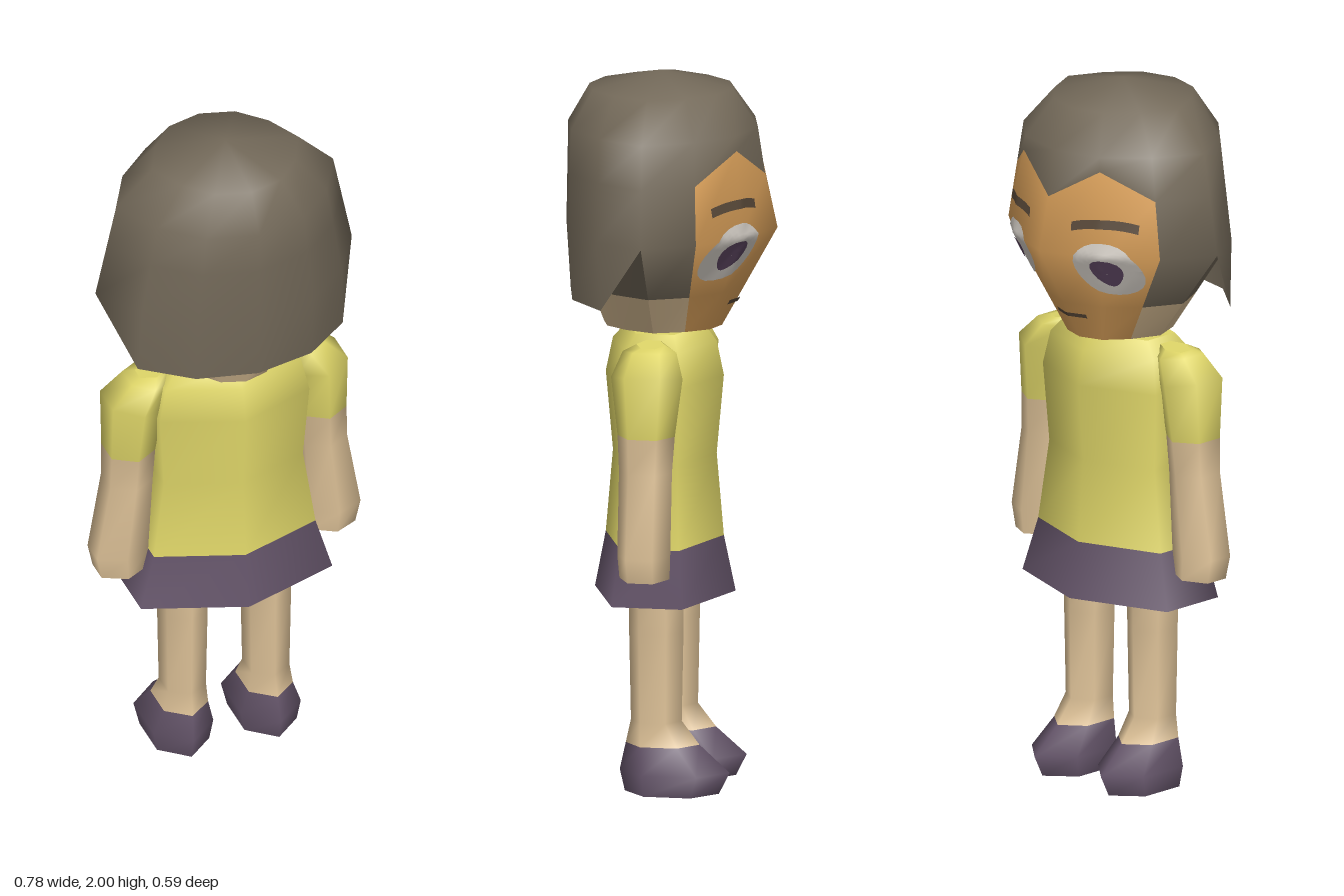
import * as THREE from 'three';
import { mergeVertices } from 'three/addons/utils/BufferGeometryUtils.js';

const paint = (name, color, side = THREE.FrontSide) => {
  const m = new THREE.MeshStandardMaterial({ color, side });
  m.name = name;
  return m;
};

export function createModel() {
  const hair = paint('hair brown', 0x736959, THREE.DoubleSide);
  const face = paint('face tan', 0xdfa45c);
  const skin = paint('skin cream', 0xdec298);
  const yellow = paint('shirt yellow', 0xded568);
  const purple = paint('skirt and shoe purple', 0x65556a);
  const white = paint('eye white', 0xd6d0c8);
  const iris = paint('iris plum', 0x5c4560);
  const brown = paint('brow brown', 0x5a4a3a);

  const model = new THREE.Group();
  model.name = 'girl';

  // Smooth mesh from a map of material -> triangle corner points
  function surface(name, faces, smooth = true) {
    const pos = [], mats = [...faces.keys()];
    let geo = new THREE.BufferGeometry();
    mats.forEach((m, i) => {
      const pts = faces.get(m);
      geo.addGroup(pos.length / 3, pts.length, i);
      pts.forEach((p) => pos.push(p.x, p.y, p.z));
    });
    geo.setAttribute('position', new THREE.Float32BufferAttribute(pos, 3));
    if (smooth) geo = mergeVertices(geo, 1e-4);
    geo.computeVertexNormals();
    const mesh = new THREE.Mesh(geo, mats.length > 1 ? mats : mats[0]);
    mesh.name = name;
    return mesh;
  }

  // Wall between rings listed from top to bottom; matAt(row, column) may return null
  function wall(rings, matAt, faces = new Map()) {
    for (let r = 0; r + 1 < rings.length; r++) {
      const n = rings[r].length;
      for (let i = 0; i < n; i++) {
        const m = matAt(r, i);
        if (!m) continue;
        if (!faces.has(m)) faces.set(m, []);
        const j = (i + 1) % n, u = rings[r], l = rings[r + 1];
        faces.get(m).push(l[j], l[i], u[i], l[j], u[i], u[j]);
      }
    }
    return faces;
  }

  // Flat end cap
  function cap(name, ring, mat, up) {
    const c = ring.reduce((s, p) => s.add(p), new THREE.Vector3()).divideScalar(ring.length);
    const pts = [];
    ring.forEach((p, i) => {
      const q = ring[(i + 1) % ring.length];
      pts.push(c, up ? q : p, up ? p : q);
    });
    return surface(name, new Map([[mat, pts]]), false);
  }

  // Six-sided limb or body; rings are [y, centre x, half width, front z, back z, tilt]
  function loft(name, rows, mats) {
    const rings = rows.map(([y, cx, hx, zf, zb, tilt = 0]) => {
      const mid = (zf + zb) / 2, k = (zb - zf) / 4;
      return [[0, zf], [hx, mid - k], [hx, mid + k], [0, zb], [-hx, mid + k], [-hx, mid - k]]
        .map(([x, z]) => new THREE.Vector3(cx + x, y + x * tilt, z));
    });
    const g = new THREE.Group();
    g.name = name;
    g.add(surface(name + 'Side', wall(rings, (r) => mats[r])));
    g.add(cap(name + 'Top', rings[0], mats[0], true));
    g.add(cap(name + 'Bottom', rings.at(-1), mats.at(-1), false));
    model.add(g);
  }

  // Shirt and skirt
  loft('body', [
    [1.29, 0, 0.16, -0.09, 0.125],
    [1.245, 0, 0.2, -0.125, 0.165],
    [1.15, 0, 0.22, -0.145, 0.185],
    [0.93, 0, 0.205, -0.125, 0.165],
    [0.7, 0, 0.238, -0.145, 0.185],
    [0.545, 0, 0.282, -0.178, 0.215],
  ], [yellow, yellow, yellow, yellow, purple]);

  for (const s of [1, -1]) {
    const side = s > 0 ? 'left' : 'right';
    // Sleeve, forearm and hand
    loft(side + 'Arm', [
      [1.272, s * 0.215, 0.04, -0.02, 0.06, -s * 0.1],
      [1.255, s * 0.23, 0.055, -0.055, 0.095, s * 0.1],
      [1.19, s * 0.272, 0.074, -0.08, 0.12, s * 0.15],
      [1.03, s * 0.282, 0.064, -0.06, 0.1],
      [0.93, s * 0.287, 0.062, -0.053, 0.095],
      [0.7, s * 0.313, 0.075, -0.053, 0.095],
      [0.635, s * 0.308, 0.066, -0.05, 0.09, -s * 0.03],
    ], [yellow, yellow, yellow, skin, skin, skin]);
    // Leg and shoe
    loft(side + 'Leg', [
      [0.6, s * 0.123, 0.062, -0.055, 0.097],
      [0.45, s * 0.123, 0.06, -0.055, 0.097],
      [0.2, s * 0.123, 0.056, -0.05, 0.092],
      [0.135, s * 0.125, 0.065, -0.1, 0.106],
      [0.06, s * 0.129, 0.088, -0.185, 0.122],
      [0, s * 0.129, 0.077, -0.155, 0.108],
    ], [skin, skin, skin, purple, purple]);
  }

  // Head rings: twelve columns, column 0 at the nose, column 3 on the left side
  const ux = [0, 0.45, 0.78, 1, 0.78, 0.45, 0, -0.45, -0.78, -1, -0.78, -0.45];
  const uz = [-1, -0.87, -0.5, 0, 0.5, 0.87, 1, 0.87, 0.5, 0, -0.5, -0.87];
  const headRing = (y, hx, zf, zb) => ux.map((x, i) => new THREE.Vector3(
    x * hx, y, (zf + zb) / 2 + uz[i] * (zb - zf) / 2));
  const crown = headRing(2, 0, 0.03, 0.03);
  const top = headRing(1.955, 0.215, -0.17, 0.23);
  const brow = headRing(1.85, 0.32, -0.24, 0.29);
  const wide = headRing(1.57, 0.378, -0.26, 0.295);
  wide[0].z = -0.295;
  const chin = headRing(1.29, 0.15, -0.14, 0.19);
  const hairlineY = { 0: 1.72, 1: 1.81, 11: 1.81 };
  const hairline = brow.map((p, i) => p.clone().lerp(wide[i], (1.85 - (hairlineY[i] ?? 1.73)) / 0.28));
  hairline[0].z = -0.26;
  const jaw = wide.map((p, i) => p.clone().lerp(chin[i], 0.6));

  // Face spans the four front columns, hair the rest
  const isFace = (i) => i < 2 || i > 9;
  const isBack = (i) => i >= 3 && i < 9;
  const rings = [crown, top, brow, hairline, wide, jaw, chin];
  const headFaces = wall(rings, (r, i) => {
    if (r < 3) return hair;
    if (isFace(i)) return face;
    if (r === 3) return hair;
    if (isBack(i)) return null;
    return r === 4 ? hair : skin;
  });
  // Bob flaring over the nape
  const hem = wide.map((p) => new THREE.Vector3(p.x, 1.38, p.z - 0.012));
  for (const i of [4, 8]) hem[i].x = Math.sign(hem[i].x) * 0.302;
  hem[3] = wide[3];
  hem[9] = wide[9];
  wall([wide, hem], (r, i) => (isBack(i) ? hair : null), headFaces);
  const head = surface('head', headFaces);
  model.add(head);
  model.add(surface('nape', wall([wide, jaw, chin],
    (r, i) => (isBack(i) ? (r ? skin : hair) : null))));
  model.add(cap('headUnderside', chin, skin, false));

  // Painted features: flat shapes laid onto the face
  const ray = new THREE.Raycaster();
  head.updateMatrixWorld(true);
  function decal(name, geo, mat, x, y, lift) {
    geo.rotateY(Math.PI);
    geo.translate(x, y, 0);
    const p = geo.attributes.position;
    for (let i = 0; i < p.count; i++) {
      ray.set(new THREE.Vector3(p.getX(i) + 1e-5, p.getY(i), -2), new THREE.Vector3(0, 0, 1));
      const hit = ray.intersectObject(head)[0];
      p.setZ(i, (hit ? hit.point.z : -0.1) - lift);
    }
    geo.computeVertexNormals();
    const mesh = new THREE.Mesh(geo, mat);
    mesh.name = name;
    model.add(mesh);
  }
  for (const s of [1, -1]) {
    const side = s > 0 ? 'left' : 'right';
    decal(side + 'Eye', new THREE.RingGeometry(0.001, 0.082, 24, 8).scale(0.98, 1, 1), white, s * 0.165, 1.53, 0.005);
    // Iris narrows towards the bottom
    const pupil = new THREE.RingGeometry(0.001, 0.042, 16, 5);
    const pp = pupil.attributes.position;
    for (let i = 0; i < pp.count; i++) pp.setX(i, pp.getX(i) * (0.85 + pp.getY(i) * 8));
    decal(side + 'Iris', pupil, iris, s * 0.168, 1.52, 0.009);
    // Gently arched brow
    const arch = new THREE.PlaneGeometry(0.16, 0.026, 14, 2);
    const ap = arch.attributes.position;
    for (let i = 0; i < ap.count; i++) ap.setY(i, ap.getY(i) - ap.getX(i) ** 2 * 2);
    decal(side + 'Brow', arch, brown, s * 0.165, 1.665, 0.006);
  }
  decal('mouth', new THREE.PlaneGeometry(0.11, 0.012, 12, 1), brown, 0, 1.365, 0.006);

  return model;
}
